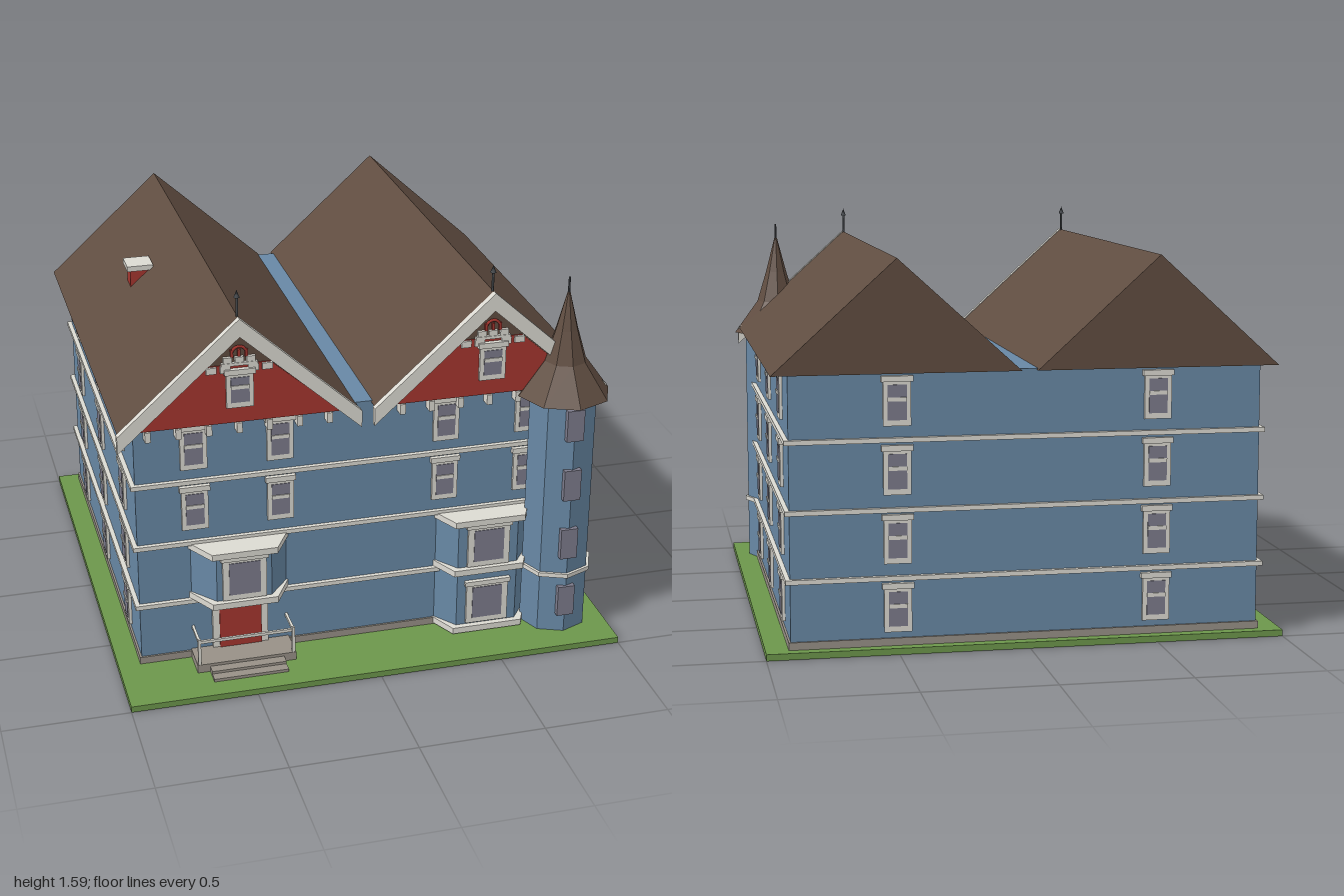
import * as THREE from 'three';

const mat = (name, color) => {
  const m = new THREE.MeshStandardMaterial({ color });
  m.name = name;
  return m;
};

export function createModel() {
  const house = new THREE.Group();
  house.name = 'house';
  const blue = mat('blue siding', 0x6888a5), trim = mat('cream trim', 0xdcdad2), red = mat('red shingle', 0xa5362f);
  const brown = mat('brown roof', 0x604d41), glass = mat('grey glass', 0x7c7b8b), grass = mat('grass', 0x6c964b);
  const stone = mat('stone', 0x979087), iron = mat('dark iron', 0x45494d);

  const add = (parent, name, geo, material, x = 0, y = 0, z = 0) => {
    const mesh = new THREE.Mesh(geo, material);
    mesh.name = name;
    mesh.position.set(x, y, z);
    parent.add(mesh);
    return mesh;
  };
  // box given by its centre
  const box = (parent, name, material, w, h, d, x, y, z) =>
    add(parent, name, new THREE.BoxGeometry(w, h, d), material, x, y, z);
  // polygon extruded along z
  const extrude = (pts, depth) => new THREE.ExtrudeGeometry(
    new THREE.Shape(pts.map(p => new THREE.Vector2(...p))), { depth, bevelEnabled: false });
  // horizontal trapezoid: back and front half widths, front depth, height
  const trapezoid = (back, front, depth, h) =>
    extrude([[-back, 0], [-front, -depth], [front, -depth], [back, 0]], h).rotateX(-Math.PI / 2);
  const group = (name, x, y, z, turn = 0, parent = house) => {
    const g = new THREE.Group();
    g.name = name;
    g.position.set(x, y, z);
    g.rotation.y = turn;
    parent.add(g);
    return g;
  };

  const front = 0.70, back = -0.95, half = 0.905;
  const floors = [0.171, 0.433, 0.695, 0.955];

  // Sash window facing its own +z
  const sashWindow = (x, y, z, turn, h = 0.185) => {
    const g = group('sashWindow', x, y, z, turn);
    box(g, 'windowFrame', trim, 0.105, h, 0.024, 0, 0, 0);
    box(g, 'windowLintel', trim, 0.12, 0.022, 0.036, 0, h / 2 - 0.008, 0);
    box(g, 'windowGlass', glass, 0.072, h - 0.052, 0.004, 0, -0.004, 0.0125);
    box(g, 'meetingRail', trim, 0.072, 0.015, 0.008, 0, 0.008, 0.0145);
  };
  // Wide single-pane window
  const wideWindow = (parent, y, z) => {
    const g = group('bayWindow', 0, y, z, 0, parent);
    box(g, 'windowFrame', trim, 0.175, 0.19, 0.024, 0, 0, 0);
    box(g, 'windowLintel', trim, 0.19, 0.02, 0.036, 0, 0.088, 0);
    box(g, 'windowGlass', glass, 0.125, 0.14, 0.004, 0, -0.002, 0.0125);
  };

  // Lawn, foundation and walls
  box(house, 'lawn', grass, 2, 0.025, 2, 0, 0.0125, 0);
  const wallDepth = front - back, midZ = (front + back) / 2;
  box(house, 'foundation', stone, half * 2 + 0.016, 0.03, wallDepth + 0.016, 0, 0.039, midZ);
  box(house, 'walls', blue, half * 2, 1.04, wallDepth, 0, 0.545, midZ);
  for (const y of [0.285, 0.545, 0.81])
    box(house, 'beltCourse', trim, half * 2 + 0.036, 0.018, wallDepth + 0.036, 0, y, midZ);

  // Side, back and front windows
  for (const y of floors) {
    for (const s of [-1, 1]) {
      for (const z of [0.433, -0.118, -0.67]) sashWindow(s * half, y, z, s * Math.PI / 2);
      sashWindow(s * 0.5, y, back, Math.PI);
      if (y > 0.6) for (const x of [0.335, 0.675]) sashWindow(s * x, y, front, 0);
    }
  }

  // Twin gable roofs
  const eave = 1.06, ridge = 1.487, w = 0.47, drop = 0.07;
  for (const s of [-1, 1]) {
    const x = s * 0.5;
    add(house, 'gableRoof', extrude([[-w, eave], [w, eave], [0, ridge]], 1.725), brown, x, 0, -0.98);
    add(house, 'bargeboard', extrude([[-w - 0.005, eave], [-w - 0.005, eave - drop], [0, ridge - drop],
      [w + 0.005, eave - drop], [w + 0.005, eave], [0, ridge + 0.003]], 0.027), trim, x, 0, 0.743);
    add(house, 'gableShingles', extrude([[-0.395, eave + 0.001], [0.395, eave + 0.001], [0.12, 1.3],
      [-0.12, 1.3]], 0.006), red, x, 0, 0.743);
    sashWindow(x, 1.205, 0.75, 0, 0.155);
    // Gable ornament
    for (const i of [-2, -1, 1, 2])
      box(house, 'gableBlock', trim, 0.04, 0.026, 0.014, x + i * 0.054, 1.285, 0.752);
    box(house, 'gableBeam', trim, 0.14, 0.012, 0.014, x, 1.304, 0.752);
    for (const i of [-1, 0, 1]) {
      box(house, 'gableCorbel', trim, 0.034, 0.022, 0.014, x + i * 0.045, 1.322, 0.752);
      box(house, 'gablePost', red, 0.011, 0.03, 0.01, x + i * 0.028, 1.346, 0.75);
    }
    add(house, 'gableArch', new THREE.TorusGeometry(0.028, 0.006, 5, 10, Math.PI), red, x, 1.345, 0.75);
    // Eave brackets
    for (let i = -3; i <= 3; i++)
      box(house, 'eaveBracket', trim, 0.022, 0.042, 0.045, x + i * 0.118, 1.033, 0.722);
    // Finial
    add(house, 'finialRod', new THREE.CylinderGeometry(0.005, 0.005, 0.09, 6), iron, x, 1.52, 0.727);
    add(house, 'finialTip', new THREE.ConeGeometry(0.012, 0.03, 6), iron, x, 1.575, 0.727);
  }

  // Chimney
  box(house, 'chimney', red, 0.08, 0.18, 0.08, -0.705, 1.25, -0.248);
  box(house, 'chimneyCap', trim, 0.108, 0.022, 0.108, -0.705, 1.348, -0.248);

  // Corner turret with a flared spire
  const turret = group('turret', 0.802, 0, 0.754);
  add(turret, 'turretWall', new THREE.CylinderGeometry(0.14, 0.14, 1.02, 8).toNonIndexed(), blue, 0, 0.535, 0);
  add(turret, 'turretBelt', new THREE.CylinderGeometry(0.152, 0.152, 0.018, 8), trim, 0, 0.285, 0);
  const spire = [[0.187, 1.04, 0.085, 1.18], [0.085, 1.18, 0.045, 1.31], [0.045, 1.31, 0.006, 1.46]];
  for (const [r0, y0, r1, y1] of spire)
    add(turret, 'turretRoof', new THREE.CylinderGeometry(r1, r0, y1 - y0, 8), brown, 0, (y0 + y1) / 2, 0);
  add(turret, 'turretFinial', new THREE.CylinderGeometry(0.004, 0.005, 0.08, 6), iron, 0, 1.483, 0);
  for (const y of floors) box(turret, 'turretWindow', glass, 0.07, 0.132, 0.05, 0, y, 0.125);
  // Flat facets for the eight-sided turret
  turret.children.forEach(m => {
    if (m.geometry.type === 'BoxGeometry') return;
    m.geometry = m.geometry.index ? m.geometry.toNonIndexed() : m.geometry;
    m.geometry.computeVertexNormals();
  });

  // Bay windows: [x, front half width, depth, lower storeys]
  for (const [x, f, depth, start] of [[-0.505, 0.11, 0.1, 0.295], [0.5, 0.125, 0.09, 0.03]]) {
    const bay = group('bay', x, 0, front);
    add(bay, 'bayWall', trapezoid(0.192, f, depth, 0.53 - start), blue, 0, start, 0);
    const slabs = start < 0.1 ? [0.03, 0.295, 0.515] : [0.295, 0.515];
    for (const y of slabs)
      add(bay, 'baySlab', trapezoid(0.2, f + 0.02, depth + 0.024, 0.026), trim, 0, y, 0);
    wideWindow(bay, 0.42, depth);
    if (start < 0.1) wideWindow(bay, 0.16, depth);
  }

  // Front door
  const porch = group('porch', -0.505, 0, front);
  box(porch, 'doorFrame', trim, 0.225, 0.245, 0.03, 0, 0.175, 0);
  box(porch, 'door', red, 0.17, 0.235, 0.006, 0, 0.172, 0.017);

  // Porch landing and steps
  box(porch, 'landing', stone, 0.4, 0.035, 0.13, 0, 0.0425, 0.065);
  box(porch, 'upperStep', stone, 0.3, 0.023, 0.04, 0, 0.0365, 0.15);
  box(porch, 'lowerStep', stone, 0.3, 0.012, 0.04, 0, 0.031, 0.19);

  // Porch railing
  for (const s of [-1, 1]) {
    box(porch, 'railPost', trim, 0.012, 0.115, 0.012, s * 0.19, 0.115, 0.122);
    box(porch, 'sideRail', trim, 0.01, 0.012, 0.12, s * 0.19, 0.16, 0.06);
  }
  box(porch, 'frontRail', trim, 0.38, 0.012, 0.01, 0, 0.16, 0.122);

  return house;
}
